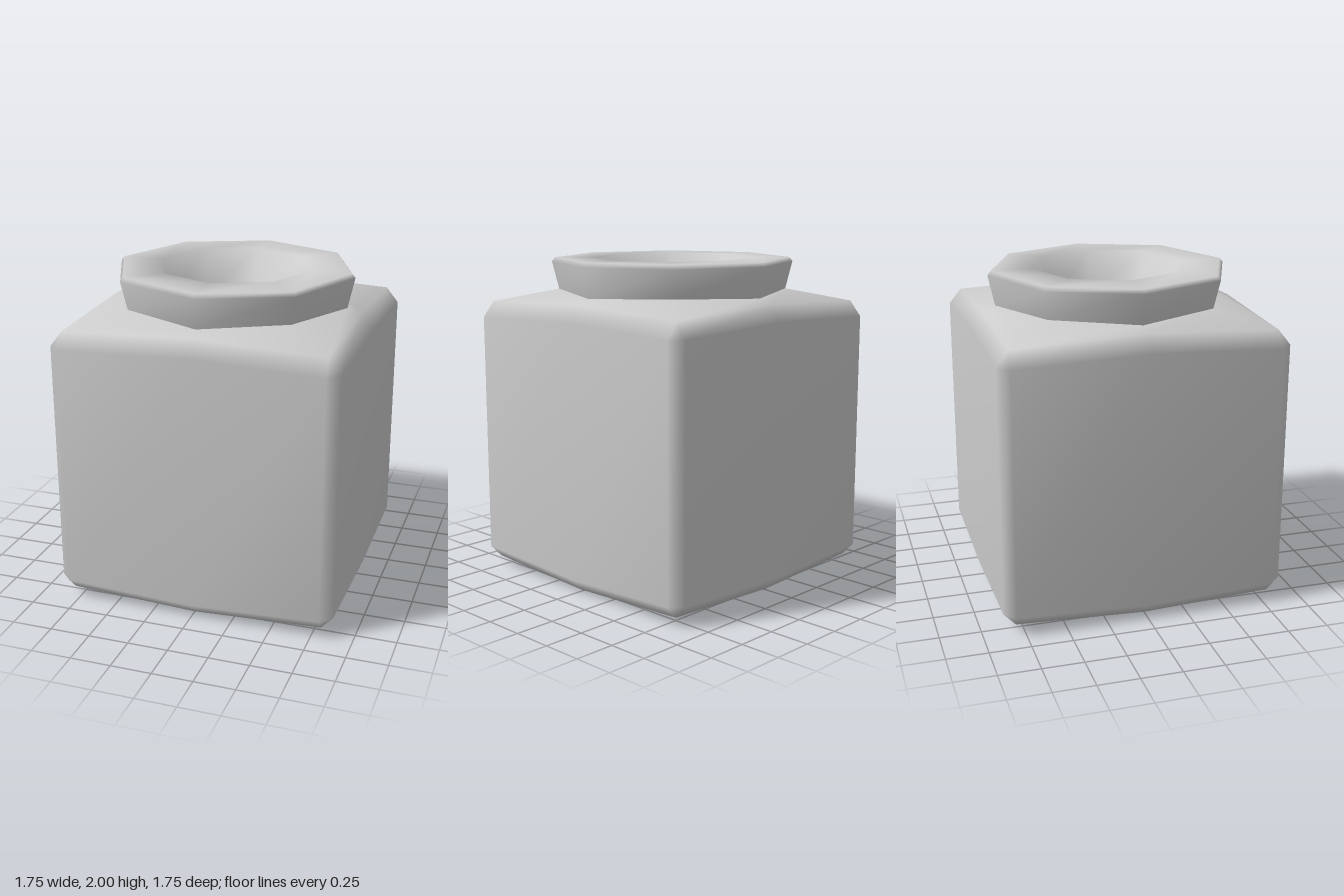
import * as THREE from 'three';
import { mergeVertices } from 'three/addons/utils/BufferGeometryUtils.js';

// Cross-section: four sides, each with a middle point and a corner of one or two points.
function ring({ mid, long, short, yMid, yCorner }) {
  const pts = [];
  for (let k = 0; k < 4; k++) {
    const c = Math.round(Math.cos(k * Math.PI / 2)), s = Math.round(Math.sin(k * Math.PI / 2));
    for (const [x, y, z] of [[0, yMid, mid], [short, yCorner, long], [long, yCorner, short]]) {
      pts.push([x * c + z * s, y, z * c - x * s]);
    }
  }
  return pts;
}

const square = (half, yMid, yCorner = yMid, inner = half) =>
  ring({ mid: half, long: half, short: inner, yMid, yCorner });
const octagon = (r, yMid, yCorner = yMid) =>
  ring({ mid: r, long: r * Math.SQRT1_2, short: r * Math.SQRT1_2, yMid, yCorner });

// Smooth skin through a list of rings, leaving out collapsed triangles.
function loft(name, rings, material) {
  const n = rings[0].length, index = [];
  for (let i = 0; i < rings.length - 1; i++) {
    for (let j = 0; j < n; j++) {
      const a = i * n + j, b = i * n + (j + 1) % n;
      index.push(a, b, b + n, a, b + n, a + n);
    }
  }
  let geo = new THREE.BufferGeometry();
  geo.setAttribute('position', new THREE.Float32BufferAttribute(rings.flat(2), 3));
  geo.setIndex(index);
  geo = mergeVertices(geo, 1e-4);
  const old = geo.index.array, clean = [];
  for (let i = 0; i < old.length; i += 3) {
    const [a, b, c] = [old[i], old[i + 1], old[i + 2]];
    if (a !== b && b !== c && c !== a) clean.push(a, b, c);
  }
  geo.setIndex(clean);
  geo.computeVertexNormals();
  const mesh = new THREE.Mesh(geo, material);
  mesh.name = name;
  return mesh;
}

export function createModel() {
  const group = new THREE.Group();
  group.name = 'squareJar';
  const material = new THREE.MeshStandardMaterial({ color: 0xcccccc, side: THREE.DoubleSide });

  // Square body: stepped underside, bevelled edges, shoulder closing to the neck
  group.add(loft('body', [
    square(0, 0.03),
    square(0.42, 0.03),
    square(0.53, 0),
    square(0.8, 0.008, 0.045),
    square(0.875, 0.09, 0.125, 0.805),
    square(0.875, 1.66, 1.63, 0.805),
    square(0.8, 1.76, 1.725),
    octagon(0.715, 1.787, 1.803),
  ], material));

  // Eight-sided flared neck with a flat rim and a stepped mouth
  group.add(loft('neck', [
    octagon(0.715, 1.787, 1.803),
    octagon(0.757, 1.975),
    octagon(0.737, 2),
    octagon(0.483, 2),
    octagon(0.4, 1.73),
    octagon(0.322, 1.65),
  ], material));

  // Hollow inside
  group.add(loft('cavity', [
    octagon(0.322, 1.65),
    square(0.74, 1.58),
    square(0.79, 1.5),
    square(0.79, 0.2),
    square(0.7, 0.12),
    square(0, 0.1),
  ], material));

  return group;
}
